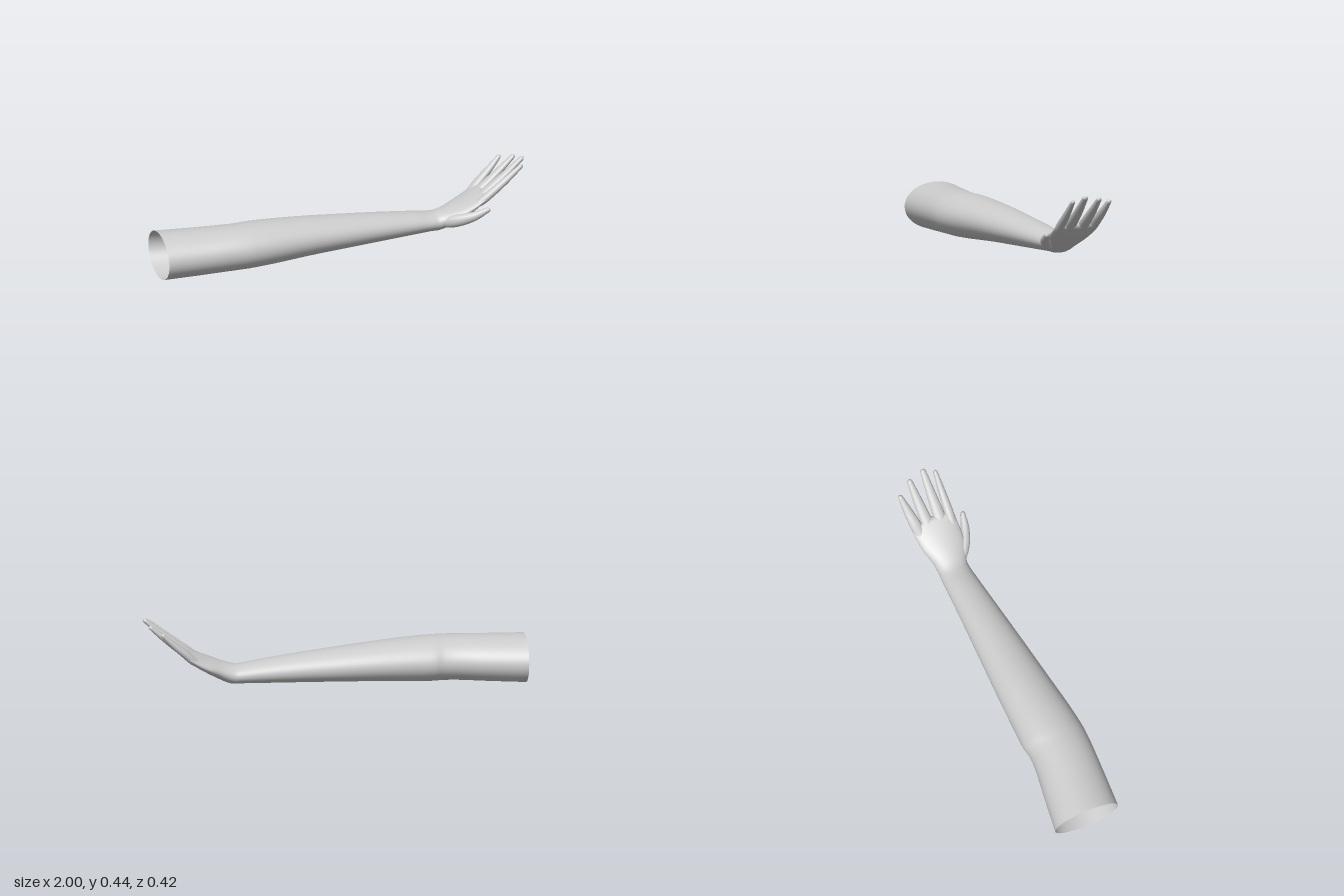
import * as THREE from 'three';

const material = new THREE.MeshStandardMaterial({ color: 0xcccccc, side: THREE.DoubleSide });

// Smooth loft through rows of [x, y, z, half thickness, half width];
// sections lean with the path in the xy plane, and the far end is rounded off.
function loft(name, rows, capLength, sides = 32, stepsPerRow = 6) {
  const path = new THREE.CatmullRomCurve3(rows.map(r => new THREE.Vector3(r[0], r[1], r[2])), false, 'catmullrom', 0.5);
  const size = new THREE.CatmullRomCurve3(rows.map(r => new THREE.Vector3(r[3], r[4], 0)), false, 'catmullrom', 0.5);
  const positions = [], index = [];
  let rings = 0;
  const ring = (c, tangent, t, w) => {
    const a = Math.atan2(tangent.y, tangent.x);
    for (let j = 0; j < sides; j++) {
      const p = (j / sides) * Math.PI * 2;
      const n = t * Math.cos(p);
      positions.push(c.x - Math.sin(a) * n, c.y + Math.cos(a) * n, c.z + w * Math.sin(p));
    }
    rings++;
  };
  const steps = (rows.length - 1) * stepsPerRow;
  for (let i = 0; i <= steps; i++) {
    const s = size.getPoint(i / steps);
    ring(path.getPoint(i / steps), path.getTangent(i / steps), s.x, s.y);
  }
  // rounded tip
  const end = path.getPoint(1), dir = path.getTangent(1), last = rows[rows.length - 1];
  for (let k = 1; k <= 8; k++) {
    const th = (k / 8) * Math.PI / 2, s = Math.max(Math.cos(th), 0.01);
    ring(end.clone().addScaledVector(dir, capLength * Math.sin(th)), dir, last[3] * s, last[4] * s);
  }
  for (let i = 0; i < rings - 1; i++) {
    for (let j = 0; j < sides; j++) {
      const k = (j + 1) % sides;
      const a = i * sides + j, b = i * sides + k, c = a + sides, d = b + sides;
      index.push(a, b, c, b, d, c);
    }
  }
  const geometry = new THREE.BufferGeometry();
  geometry.setAttribute('position', new THREE.Float32BufferAttribute(positions, 3));
  geometry.setIndex(index);
  geometry.computeVertexNormals();
  const mesh = new THREE.Mesh(geometry, material);
  mesh.name = name;
  return mesh;
}

export function createModel() {
  const group = new THREE.Group();
  group.name = 'arm';

  // Upper arm (open end), elbow, forearm, wrist and palm in one skin
  group.add(loft('armAndPalm', [
    [-1.0, 0.123, 0.021, 0.123, 0.177],
    [-0.82, 0.128, 0.033, 0.119, 0.170],
    [-0.66, 0.134, 0.044, 0.116, 0.162],
    [-0.57, 0.136, 0.044, 0.115, 0.161],
    [-0.51, 0.137, 0.036, 0.115, 0.164],
    [-0.40, 0.139, 0.026, 0.111, 0.158],
    [-0.20, 0.141, 0.005, 0.099, 0.142],
    [0.0, 0.139, -0.014, 0.086, 0.125],
    [0.20, 0.136, -0.033, 0.073, 0.107],
    [0.40, 0.131, -0.053, 0.058, 0.090],
    [0.49, 0.128, -0.062, 0.050, 0.083],
    [0.54, 0.130, -0.064, 0.050, 0.081],
    [0.60, 0.152, -0.060, 0.044, 0.094],
    [0.66, 0.181, -0.064, 0.037, 0.112],
    [0.72, 0.213, -0.070, 0.030, 0.117],
    [0.77, 0.246, -0.075, 0.022, 0.120],
  ], 0.032, 56));

  // Four fingers: root z, z at the web, tip x, tip y, tip z, web and tip half widths
  const fingers = [
    ['indexFinger', 0.016, 0.021, 0.962, 0.401, 0.023, 0.024, 0.012],
    ['middleFinger', -0.036, -0.034, 0.985, 0.423, -0.037, 0.031, 0.016],
    ['ringFinger', -0.094, -0.106, 0.965, 0.409, -0.120, 0.031, 0.015],
    ['littleFinger', -0.145, -0.169, 0.912, 0.387, -0.195, 0.030, 0.014],
  ];
  for (const [name, zRoot, zWeb, x, y, z, wWeb, wTip] of fingers) {
    const mix = (a, b, f) => a + (b - a) * f;
    const yWeb = name === 'littleFinger' ? 0.275 : 0.265;
    group.add(loft(name, [
      [0.70, 0.203, zRoot, 0.012, wWeb * 0.7],
      [0.75, 0.232, mix(zRoot, zWeb, 0.6), 0.020, wWeb * 0.95],
      [0.795, yWeb, zWeb, 0.021, wWeb],
      [mix(0.795, x, 0.5), mix(yWeb, y, 0.5) - 0.003, mix(zWeb, z, 0.5), 0.018, mix(wWeb, wTip, 0.4)],
      [x, y, z, 0.012, wTip],
    ], 0.017, 24));
  }

  // Thumb, rising from the heel of the palm
  group.add(loft('thumb', [
    [0.54, 0.125, -0.035, 0.030, 0.038],
    [0.59, 0.138, 0.012, 0.033, 0.036],
    [0.64, 0.154, 0.046, 0.031, 0.031],
    [0.70, 0.176, 0.073, 0.024, 0.024],
    [0.762, 0.206, 0.089, 0.014, 0.014],
  ], 0.017, 24));

  return group;
}
